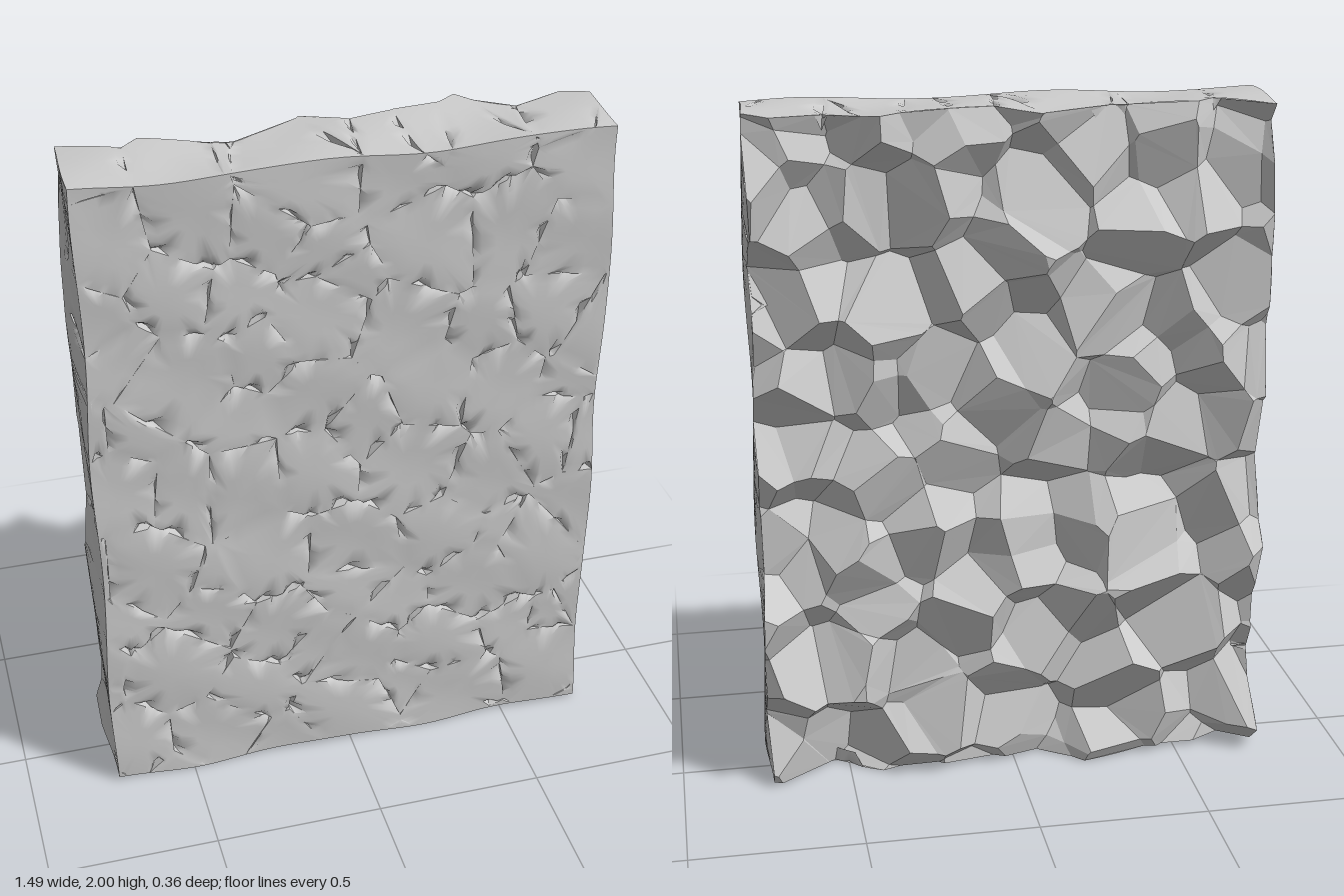
import * as THREE from 'three';
import { mergeVertices, toCreasedNormals } from 'three/addons/utils/BufferGeometryUtils.js';

const MIN = new THREE.Vector3(-0.74, 0.008, -0.176);
const MAX = new THREE.Vector3(0.74, 1.992, 0.169);
const V = (x, y, z) => new THREE.Vector3(x, y, z);

function seeded(seed) {
  return () => {
    seed = (Math.imul(seed, 1664525) + 1013904223) >>> 0;
    return seed / 4294967296;
  };
}

// Slab as a list of outward faces; every cell is cut out of it
function slabFaces() {
  const faces = [];
  for (const axis of ['x', 'y', 'z']) {
    const [u, v] = { x: ['y', 'z'], y: ['z', 'x'], z: ['x', 'y'] }[axis];
    for (const s of [1, -1]) {
      const pts = [[0, 0], [1, 0], [1, 1], [0, 1]].map(([a, b]) => {
        const p = V();
        p[axis] = s > 0 ? MAX[axis] : MIN[axis];
        p[u] = a ? MAX[u] : MIN[u];
        p[v] = b ? MAX[v] : MIN[v];
        return p;
      });
      if (s < 0) pts.reverse();
      const kind = axis === 'z' && s < 0 ? 'broken' : 'wall';
      faces.push({ pts, kind, normal: V()[`set${axis.toUpperCase()}`](s) });
    }
  }
  return faces;
}

// Cut a convex cell by a plane and cap the cut
function clip(faces, normal, d, kind) {
  if (!faces.some(f => f.pts.some(p => p.dot(normal) > d + 1e-9))) return faces;
  const cut = [], out = [];
  for (const f of faces) {
    const pts = [];
    f.pts.forEach((a, i) => {
      const b = f.pts[(i + 1) % f.pts.length];
      const da = a.dot(normal) - d, db = b.dot(normal) - d;
      if (da <= 0) pts.push(a);
      if (da <= 0 !== db <= 0) {
        const p = a.clone().lerp(b, da / (da - db));
        pts.push(p);
        if (!cut.some(q => q.distanceToSquared(p) < 1e-12)) cut.push(p);
      }
    });
    if (pts.length > 2) out.push({ ...f, pts });
  }
  if (cut.length > 2) {
    const c = centre(cut);
    const u = cut[0].clone().sub(c).normalize(), v = normal.clone().cross(u);
    const angle = p => Math.atan2(p.clone().sub(c).dot(v), p.clone().sub(c).dot(u));
    cut.sort((a, b) => angle(a) - angle(b));
    out.push({ pts: cut, kind, normal: normal.clone() });
  }
  return out;
}

function centre(pts) {
  return pts.reduce((s, p) => s.add(p), V(0, 0, 0)).divideScalar(pts.length);
}

// Gentle unevenness of the whole slab
function wobble(p) {
  return V(
    p.x + 0.006 * Math.sin(p.y * 8 + p.z * 12),
    p.y + 0.007 * Math.sin(p.x * 9 + p.z * 10 + 1),
    p.z + 0.006 * Math.sin(p.x * 13 + 2 + p.y * 3) * Math.sin(p.y * 12 - p.x * 4)
  );
}

// Chips along the cracks, different for each stone, fading out at the slab's outer edges
function chipDepth(p, n, phase) {
  const nearEdge = ['x', 'y', 'z'].some(a => Math.abs(n[a]) < 0.5 &&
    (p[a] > MAX[a] - 0.01 || p[a] < (a === 'z' ? -0.05 : MIN[a] + 0.01)));
  if (nearEdge) return 0;
  const s = Math.sin(p.x * 57 + p.y * 23 + phase) + Math.sin(p.y * 53 - p.x * 27 + p.z * 39 + phase * 2);
  return 0.002 + 0.032 * Math.min(1, Math.max(0, s - 0.6));
}

function geometryOf(triangles) {
  const pos = triangles.flatMap(p => wobble(p).toArray());
  const g = new THREE.BufferGeometry();
  g.setAttribute('position', new THREE.Float32BufferAttribute(pos, 3));
  return g;
}

// Wall face: crack side, chipped rim, flat rings and centre
function addWallFace({ pts, normal }, phase, tris) {
  const c = centre(pts), root = [], rim = [], ring = [], mid = [];
  const steps = 7;
  pts.forEach((a, i) => {
    const b = pts[(i + 1) % pts.length];
    if (a.distanceToSquared(b) < 1e-10) return;
    for (let k = 0; k < steps; k++) {
      const p = a.clone().lerp(b, k / steps);
      const depth = chipDepth(p, normal, phase);
      rim.push(p.clone().addScaledVector(normal, -depth));
      root.push(p.clone().addScaledVector(normal, depth ? -0.045 : 0));
      ring.push(p.clone().lerp(c, 0.22));
      mid.push(p.clone().lerp(c, 0.6));
    }
  });
  rim.forEach((_, i) => {
    const j = (i + 1) % rim.length;
    for (const [outer, inner] of [[root, rim], [rim, ring], [ring, mid]]) {
      tris.push(outer[i], outer[j], inner[j], outer[i], inner[j], inner[i]);
    }
    tris.push(mid[i], mid[j], c);
  });
}

export function createModel() {
  const rand = seeded(29);
  const jitter = r => (rand() * 2 - 1) * r;

  // Staggered seeds: kept stones in front, removed ones behind
  const seeds = [];
  const cols = 7, rows = 9, dx = 1.5 / cols, dy = 2 / rows;
  for (const kept of [true, false]) {
    for (let r = -1; r <= rows; r++) {
      for (let c = -1; c <= cols; c++) {
        const shift = (r & 1 ? 0.25 : -0.25) + (kept ? 0 : 0.5);
        seeds.push({
          kept,
          p: V(
            -0.75 + (c + 0.5 + shift) * dx + jitter(0.085),
            (r + (kept ? 0.5 : 0.9)) * dy + jitter(0.09),
            (kept ? 0.012 : -0.188) + jitter(0.04)
          ),
        });
      }
    }
  }

  const wallTris = [], brokenTris = [];
  seeds.filter(s => s.kept).forEach((s, index) => {
    let faces = slabFaces();
    for (const o of seeds) {
      if (o === s || o.p.distanceTo(s.p) > 0.9) continue;
      const n = o.p.clone().sub(s.p).normalize();
      const d = n.dot(s.p.clone().add(o.p).multiplyScalar(0.5));
      faces = clip(faces, n, d, o.kept ? 'inner' : 'broken');
      if (!faces.length) break;
    }
    for (const f of faces) {
      if (f.kind === 'wall') addWallFace(f, index * 1.7, wallTris);
      if (f.kind === 'broken') {
        for (let i = 1; i < f.pts.length - 1; i++) brokenTris.push(f.pts[0], f.pts[i], f.pts[i + 1]);
      }
    }
  });

  const group = new THREE.Group();
  group.name = 'brokenStoneSlab';

  // Smooth, cracked front and edges
  const wallGeo = toCreasedNormals(mergeVertices(geometryOf(wallTris), 1e-4), 1.2);
  const wall = new THREE.Mesh(wallGeo,
    new THREE.MeshStandardMaterial({ color: 0xcccccc, side: THREE.DoubleSide }));
  wall.name = 'crackedFrontAndEdges';

  // Faceted fracture surface at the back
  const brokenGeo = geometryOf(brokenTris);
  brokenGeo.computeVertexNormals();
  const broken = new THREE.Mesh(brokenGeo, new THREE.MeshStandardMaterial({
    color: 0xcccccc, flatShading: true, side: THREE.DoubleSide,
  }));
  broken.name = 'fracturedBack';

  group.add(wall, broken);
  return group;
}
